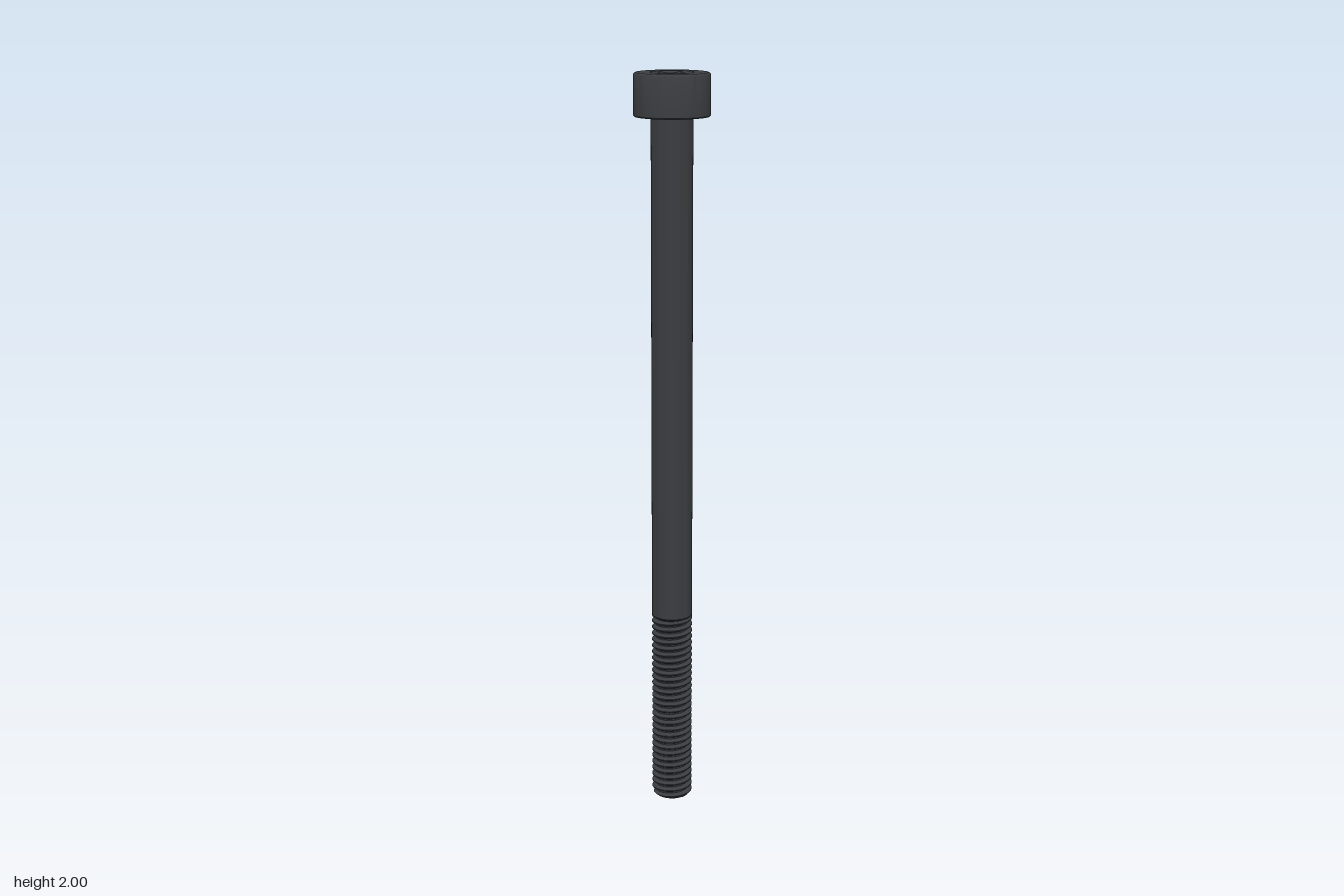
import * as THREE from 'three';
import { toCreasedNormals } from 'three/addons/utils/BufferGeometryUtils.js';

const TAU = Math.PI * 2;
const SHANK_R = 0.055, ROOT_R = 0.044, HEAD_R = 0.1;
const THREAD_TOP = 0.53, HEAD_BASE = 1.888, TOP = 2;
const PITCH = 0.0182;
const SOCKET_R = 0.0565, HEX_APOTHEM = 0.048, SOCKET_FLOOR = 1.945;

// Surface swept from a grid of points; point(u, v) returns [angle, radius, y]
function gridSurface(cols, rows, point) {
  const positions = [], index = [];
  for (let u = 0; u <= cols; u++) {
    for (let v = 0; v <= rows; v++) {
      const [a, r, y] = point(u, v);
      positions.push(Math.cos(a) * r, y, -Math.sin(a) * r);
      if (u < cols && v < rows) {
        const p = u * (rows + 1) + v, q = p + rows + 1;
        index.push(p, q, q + 1, p, q + 1, p + 1);
      }
    }
  }
  const geometry = new THREE.BufferGeometry();
  geometry.setAttribute('position', new THREE.Float32BufferAttribute(positions, 3));
  geometry.setIndex(index);
  return toCreasedNormals(geometry, 0.5);
}

function lathe(points) {
  const profile = points.map(([r, y]) => new THREE.Vector2(r, y));
  return toCreasedNormals(new THREE.LatheGeometry(profile, 72), 0.5);
}

// Quarter-round profile points from angle a0 to a1 about a centre
function arc(cx, cy, r, a0, a1, n = 5) {
  return Array.from({ length: n + 1 }, (_, i) => {
    const a = a0 + (a1 - a0) * i / n;
    return [cx + Math.cos(a) * r, cy + Math.sin(a) * r];
  });
}

export function createModel() {
  const group = new THREE.Group();
  const material = new THREE.MeshStandardMaterial({ color: 0x3a3d40 });
  const add = (name, geometry) => {
    const mesh = new THREE.Mesh(geometry, material);
    mesh.name = name;
    group.add(mesh);
  };

  // Head: fillet under it, rounded top rim, open at the socket
  const f = 0.005, rim = 0.007;
  add('head', lathe([
    ...arc(SHANK_R + f, HEAD_BASE - f, f, Math.PI, Math.PI / 2),
    [HEAD_R - 0.003, HEAD_BASE], [HEAD_R, HEAD_BASE + 0.003],
    ...arc(HEAD_R - rim, TOP - rim, rim, 0, Math.PI / 2),
    [SOCKET_R, TOP],
  ]));

  // Hex socket: round countersink, six walls and floor
  const cols = 72;
  add('hexSocket', gridSurface(cols, 3, (u, v) => {
    const a = u / cols * TAU;
    const hexR = HEX_APOTHEM / Math.cos((u % 12 - 6) / cols * TAU);
    return [
      [a, SOCKET_R, TOP],
      [a, hexR, TOP - (SOCKET_R - hexR) * 0.7],
      [a, hexR, SOCKET_FLOOR],
      [a, 0, SOCKET_FLOOR],
    ][v];
  }));

  // Plain shank with a tapered run-out into the thread
  add('shank', lathe([
    [0, THREAD_TOP - 0.006], [ROOT_R, THREAD_TOP - 0.006],
    [SHANK_R, THREAD_TOP + 0.004], [SHANK_R, HEAD_BASE],
  ]));

  // Right-handed helical thread, trimmed at both ends, chamfered at the tip
  const perTurn = 48;
  const turns = Math.ceil(THREAD_TOP / PITCH) + 1;
  const profile = [[0, ROOT_R], [0.2, ROOT_R], [0.52, SHANK_R], [0.68, SHANK_R], [1, ROOT_R]];
  add('thread', gridSurface(perTurn * turns, profile.length - 1, (u, v) => {
    const [t, r] = profile[v];
    const y = THREE.MathUtils.clamp((u / perTurn - 1 + t) * PITCH, 0, THREAD_TOP);
    return [u / perTurn * TAU, Math.min(r, ROOT_R + 0.001 + y), y];
  }));

  // Flat end of the screw
  const tip = new THREE.CircleGeometry(ROOT_R + 0.001, perTurn);
  tip.rotateX(Math.PI / 2);
  add('tip', tip);

  return group;
}
